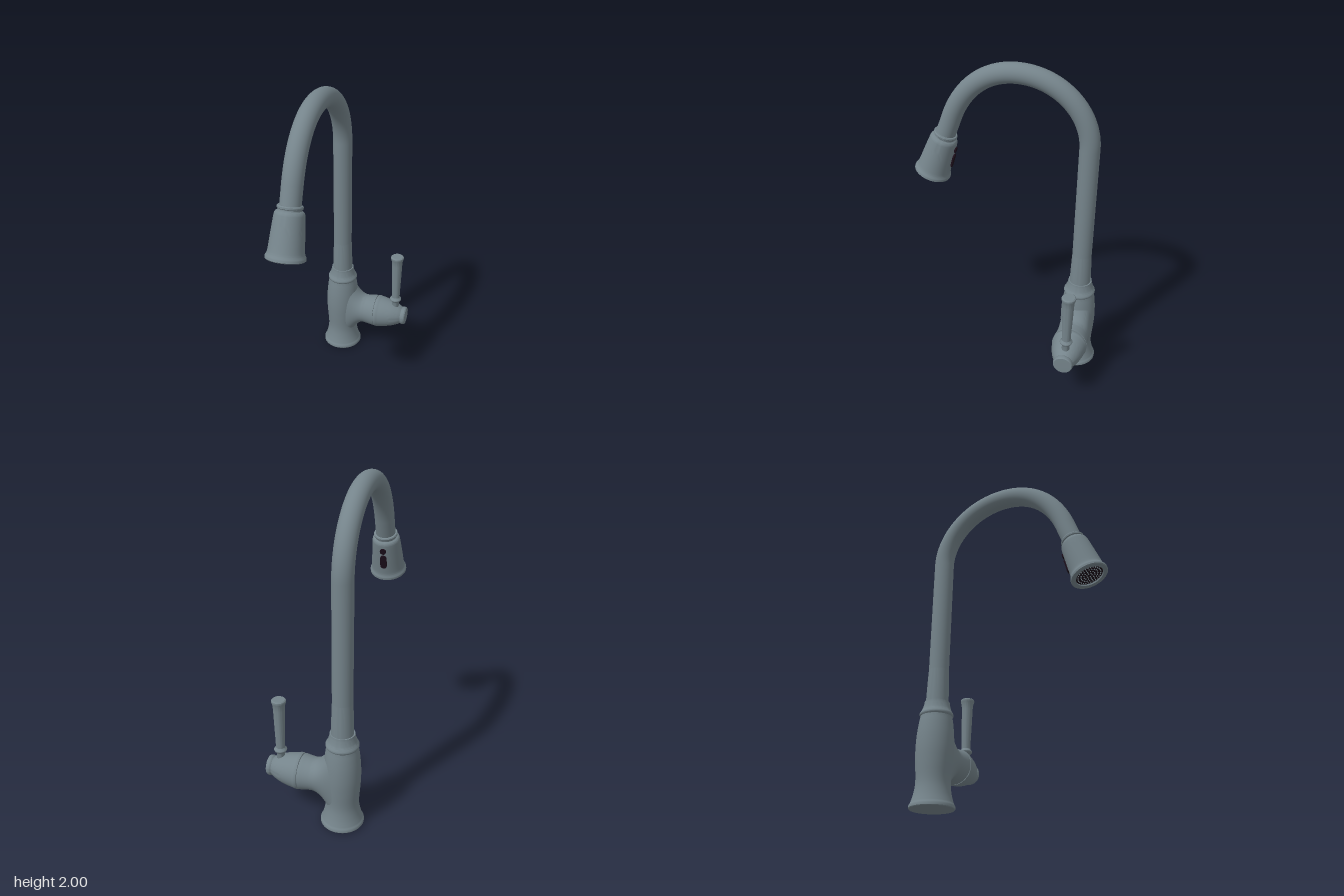
import * as THREE from 'three';
import { toCreasedNormals } from 'three/addons/utils/BufferGeometryUtils.js';

const steel = new THREE.MeshStandardMaterial({ color: 0x75848b });
steel.name = 'brushed steel';
const dark = new THREE.MeshStandardMaterial({ color: 0x1c0e1a });
dark.name = 'dark rubber';

const CX = -0.165, CZ = -0.468; // axis of the column

function mesh(name, geometry, material = steel) {
  const m = new THREE.Mesh(geometry, material);
  m.name = name;
  return m;
}

// Turned part from [radius, height] pairs, listed bottom to top
function turned(profile, segments = 56) {
  return new THREE.LatheGeometry(profile.map(([r, y]) => new THREE.Vector2(r, y)), segments);
}
const crease = (g) => toCreasedNormals(g, 0.5);

// Smooth run of [radius, height] pairs
function smooth(points, n = 24) {
  const c = new THREE.SplineCurve(points.map(([r, y]) => new THREE.Vector2(r, y)));
  return c.getPoints(n).map((p) => [p.x, p.y]);
}

function makeColumn() {
  const g = new THREE.Group();
  g.name = 'column';
  const body = turned([
    [0, 0], [0.126, 0], [0.129, 0.004], [0.129, 0.016], [0.125, 0.024],
    ...smooth([[0.122, 0.028], [0.109, 0.07], [0.1, 0.12], [0.099, 0.17], [0.105, 0.25],
      [0.109, 0.33], [0.107, 0.41], [0.1, 0.48], [0.092, 0.53]], 32),
    ...smooth([[0.092, 0.531], [0.097, 0.538], [0.097, 0.548], [0.09, 0.56]], 8),
    ...smooth([[0.088, 0.562], [0.08, 0.585], [0.074, 0.61]], 6),
    [0.073, 0.62], [0.05, 0.62],
  ]);
  const collar = turned([[0.066, 0.61], [0.065, 0.66], [0.062, 0.76], [0.0595, 0.82]]);
  g.add(mesh('body', crease(body)), mesh('neckSleeve', crease(collar)));
  g.position.set(CX, 0, CZ);
  return g;
}

// Gooseneck: straight riser, then an arch leaning out to the spray head
function makeSpout() {
  const v = (z, y) => new THREE.Vector3(CX, y, z);
  const path = new THREE.CurvePath();
  path.add(new THREE.LineCurve3(v(CZ, 0.6), v(CZ, 1.54)));
  path.add(new THREE.CubicBezierCurve3(v(CZ, 1.54), v(CZ, 1.76), v(-0.277, 1.94), v(-0.045, 1.94)));
  path.add(new THREE.CubicBezierCurve3(v(-0.045, 1.94), v(0.16, 1.94), v(0.295, 1.8), v(0.358, 1.62)));
  path.add(new THREE.LineCurve3(v(0.358, 1.62), v(0.4, 1.505)));
  return mesh('spout', new THREE.TubeGeometry(path, 140, 0.0595, 40, false));
}

function makeSprayHead() {
  const g = new THREE.Group();
  g.name = 'sprayHead';
  // shell with a recessed mouth, hung from its top at local y = 0
  const shell = turned([
    [0.082, -0.272], [0.084, -0.293], [0.107, -0.295], [0.113, -0.29], [0.113, -0.28],
    ...smooth([[0.111, -0.274], [0.104, -0.26], [0.1, -0.235], [0.094, -0.16], [0.088, -0.09], [0.084, -0.05]], 18),
    ...smooth([[0.083, -0.045], [0.078, -0.034], [0.069, -0.028]], 6),
    [0.066, -0.026], [0.066, -0.02], [0.071, -0.016], [0.072, -0.006], [0.068, 0], [0.05, 0.002],
  ]);
  g.add(mesh('headShell', crease(shell)));

  const face = mesh('nozzlePlate', new THREE.CylinderGeometry(0.083, 0.083, 0.008, 48), dark);
  face.position.y = -0.28;
  g.add(face);

  // rings of small spray nubs
  const nub = new THREE.CylinderGeometry(0.0035, 0.0035, 0.006, 8);
  for (const [radius, count] of [[0.07, 28], [0.052, 20], [0.034, 12], [0.016, 6]]) {
    for (let i = 0; i < count; i++) {
      const a = (i / count) * Math.PI * 2;
      const n = mesh('sprayNub', nub);
      n.position.set(Math.cos(a) * radius, -0.286, Math.sin(a) * radius);
      g.add(n);
    }
  }

  // buttons on the side facing the column
  const round = mesh('roundButton', new THREE.CylinderGeometry(0.019, 0.019, 0.016, 28).rotateX(Math.PI / 2), dark);
  round.position.set(0, -0.083, -0.086);
  round.rotation.x = 0.08;
  const slot = new THREE.Shape();
  slot.absarc(0, 0.026, 0.02, 0, Math.PI);
  slot.absarc(0, -0.026, 0.02, Math.PI, Math.PI * 2);
  slot.closePath();
  const long = mesh('longButton',
    new THREE.ExtrudeGeometry(slot, { depth: 0.016, bevelEnabled: false, curveSegments: 14 }).translate(0, 0, -0.008), dark);
  long.position.set(0, -0.158, -0.093);
  long.rotation.x = 0.08;
  g.add(round, long);

  g.position.set(CX, 1.525, 0.393);
  g.rotation.x = -0.347;
  return g;
}

// Side valve: profiles are [radius, x], turned to lie along x
function makeValve() {
  const g = new THREE.Group();
  g.name = 'valve';
  const lie = (geo) => geo.rotateZ(-Math.PI / 2);

  const arm = lie(turned([
    ...smooth([[0.097, -0.13], [0.097, -0.09], [0.097, -0.05], [0.098, 0], [0.102, 0.04], [0.107, 0.074]], 30),
    [0.107, 0.08], [0.09, 0.08],
  ]));
  // spread the arm upward and downward where it blends into the column
  const p = arm.attributes.position;
  for (let i = 0; i < p.count; i++) {
    const t = Math.max(0, (0.01 - p.getX(i)) / 0.08);
    p.setY(i, p.getY(i) * (1 + 0.7 * t * t));
  }
  const gap = lie(turned([[0.098, 0.07], [0.098, 0.115]]));
  const cap = lie(turned([
    [0.09, 0.086], [0.107, 0.086], [0.109, 0.092], [0.109, 0.106],
    ...smooth([[0.107, 0.11], [0.1, 0.15], [0.087, 0.2], [0.07, 0.24], [0.056, 0.263]], 16),
    [0.06, 0.268], [0.062, 0.276], [0.06, 0.288], [0.055, 0.294], [0, 0.295],
  ]));
  g.add(mesh('valveArm', crease(arm)), mesh('valveGroove', crease(gap)), mesh('valveCap', crease(cap)));
  g.position.set(0, 0.3, CZ - 0.003);
  return g;
}

function makeLever() {
  const lever = mesh('lever', crease(turned([
    [0.024, 0.33], [0.024, 0.405], [0.027, 0.412],
    ...smooth([[0.032, 0.415], [0.038, 0.424], [0.038, 0.432], [0.03, 0.441]], 8),
    [0.027, 0.446], [0.028, 0.5], [0.032, 0.62], [0.034, 0.7], [0.036, 0.73],
    [0.041, 0.748], [0.043, 0.756], [0.042, 0.764], [0.036, 0.769], [0, 0.77],
  ], 36)));
  lever.position.set(0.216, 0, CZ - 0.003);
  return lever;
}

export function createModel() {
  const model = new THREE.Group();
  model.name = 'kitchenFaucet';
  model.add(makeColumn(), makeSpout(), makeSprayHead(), makeValve(), makeLever());
  return model;
}
